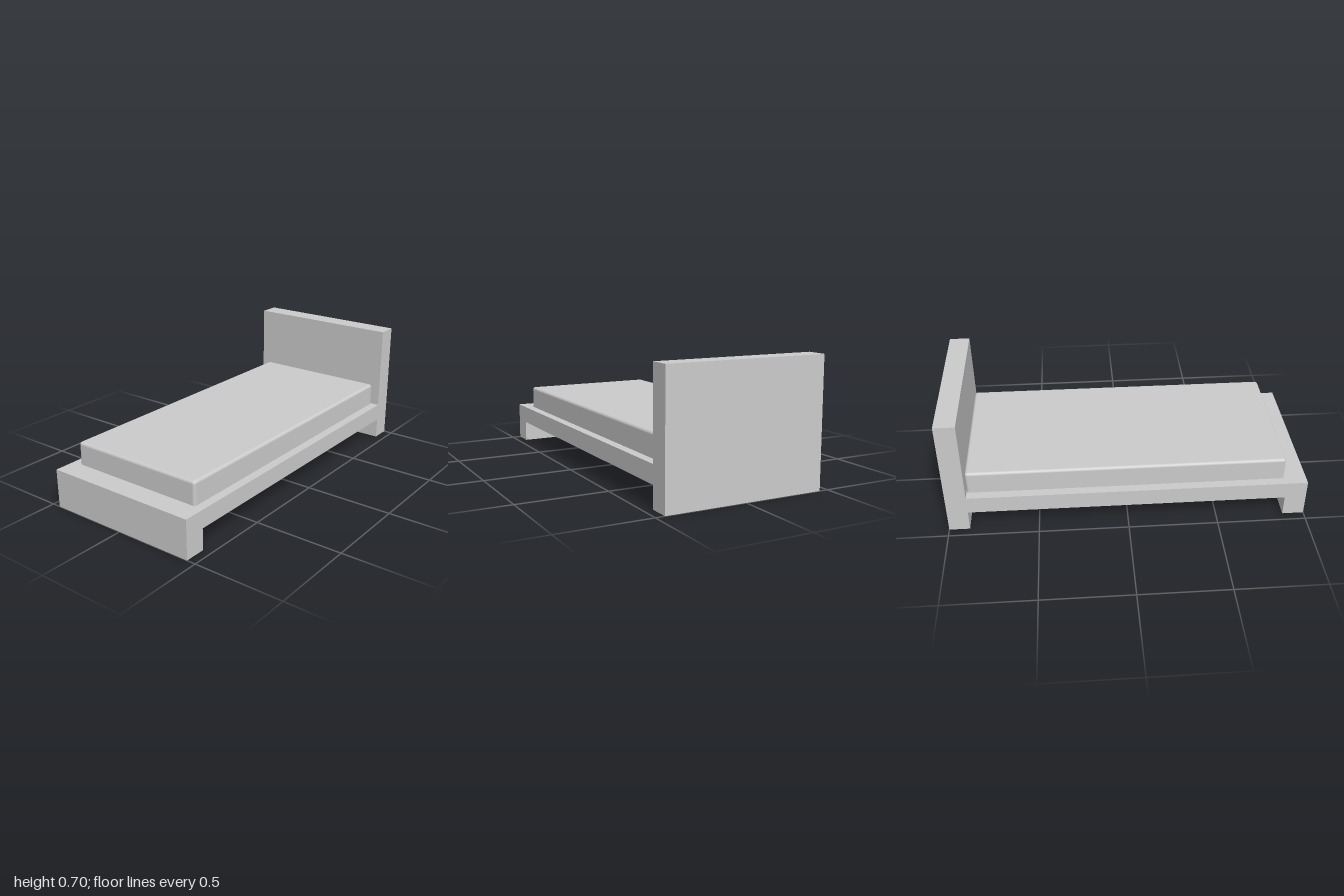
import * as THREE from 'three';
import { RoundedBoxGeometry } from 'three/addons/geometries/RoundedBoxGeometry.js';

const WIDTH = 0.9;

export function createModel() {
  const model = new THREE.Group();
  model.name = 'bed';
  const material = new THREE.MeshStandardMaterial({ color: 0xcccccc });

  // Frame: side profile (z, y) with foot, slab and headboard in one piece
  const profile = [
    [1, 0], [1, 0.22], [-0.885, 0.22], [-0.885, 0.7], [-1, 0.7],
    [-1, 0], [-0.885, 0], [-0.885, 0.12], [0.88, 0.12], [0.88, 0],
  ].map(([z, y]) => new THREE.Vector2(z, y));
  const frameGeometry = new THREE.ExtrudeGeometry(new THREE.Shape(profile), {
    depth: WIDTH,
    bevelEnabled: false,
  });
  frameGeometry.rotateY(-Math.PI / 2).translate(WIDTH / 2, 0, 0);
  const frame = new THREE.Mesh(frameGeometry, material);
  frame.name = 'bedFrame';
  model.add(frame);

  // Mattress: rounded block whose lower edge is sunk into the slab
  const top = 0.35, bottom = 0.2, front = 0.876, back = -0.884;
  const mattress = new THREE.Mesh(
    new RoundedBoxGeometry(0.8, top - bottom, front - back, 4, 0.016),
    material
  );
  mattress.name = 'mattress';
  mattress.position.set(0, (top + bottom) / 2, (front + back) / 2);
  model.add(mattress);

  return model;
}
